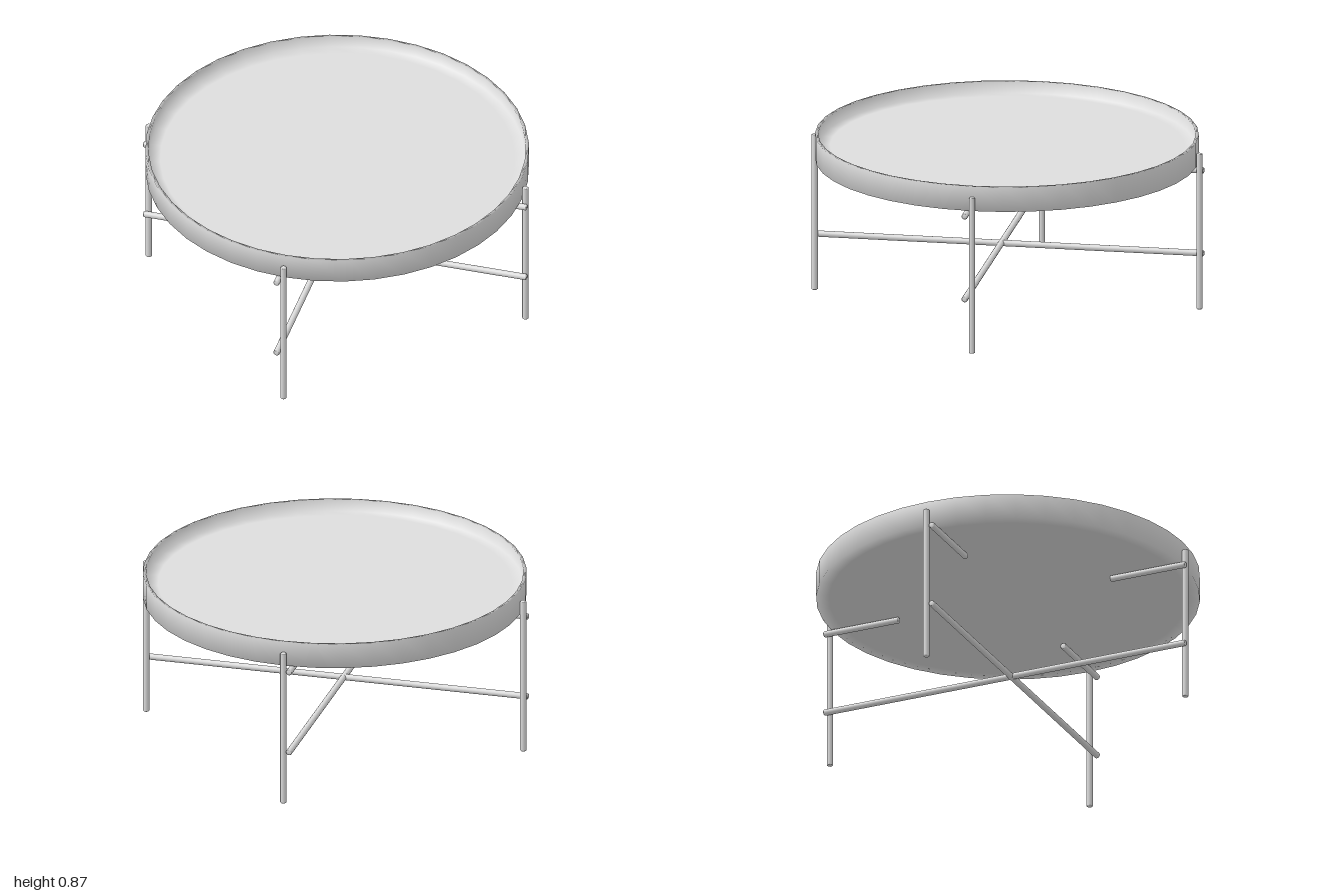
import * as THREE from 'three';

const metal = new THREE.MeshStandardMaterial({ color: 0xdddddd });
metal.name = 'greyMetal';

const R = 0.016; // bar radius

// Upright round bar with softly bevelled ends, centred on the origin
function barGeometry(length) {
  const h = length / 2, b = 0.004;
  const profile = [[0, -h], [R - b, -h], [R, -h + b], [R, h - b], [R - b, h], [0, h]];
  return new THREE.LatheGeometry(profile.map(([x, y]) => new THREE.Vector2(x, y)), 14);
}

export function createModel() {
  const model = new THREE.Group();
  model.name = 'trayTable';

  const add = (name, geometry, x, y, z, axis = 'y') => {
    const mesh = new THREE.Mesh(geometry, metal);
    mesh.name = name;
    mesh.position.set(x, y, z);
    if (axis === 'x') mesh.rotation.z = -Math.PI / 2;
    if (axis === 'z') mesh.rotation.x = Math.PI / 2;
    model.add(mesh);
  };

  // Round tray: underside, wall, rim, shallow inner wall and raised floor
  const profile = [
    [0, 0.738], [0.9, 0.738], [0.965, 0.738], [0.965, 0.866],
    [0.949, 0.866], [0.946, 0.805], [0.89, 0.805], [0, 0.805],
  ].map(([x, y]) => new THREE.Vector2(x, y));
  add('tray', new THREE.LatheGeometry(profile, 40), 0, 0, 0);

  // Four legs, with a short support bar beside each one under the tray
  const leg = barGeometry(0.814);
  const support = barGeometry(0.415);
  for (const s of [-1, 1]) {
    add('sideLeg', leg, s * 0.983, 0.407, 0);
    add('sideTraySupport', support, s * 0.7925, 0.717, 0.035, 'x');
    add('endLeg', leg, -0.004, 0.407, s * 0.983);
    add('endTraySupport', support, -0.037, 0.717, s * 0.7925, 'z');
  }

  // Crossed stretchers
  const stretcher = barGeometry(2);
  add('crossBarAcross', stretcher, 0, 0.283, 0.035, 'x');
  add('crossBarAlong', stretcher, -0.037, 0.283, 0, 'z');

  return model;
}
